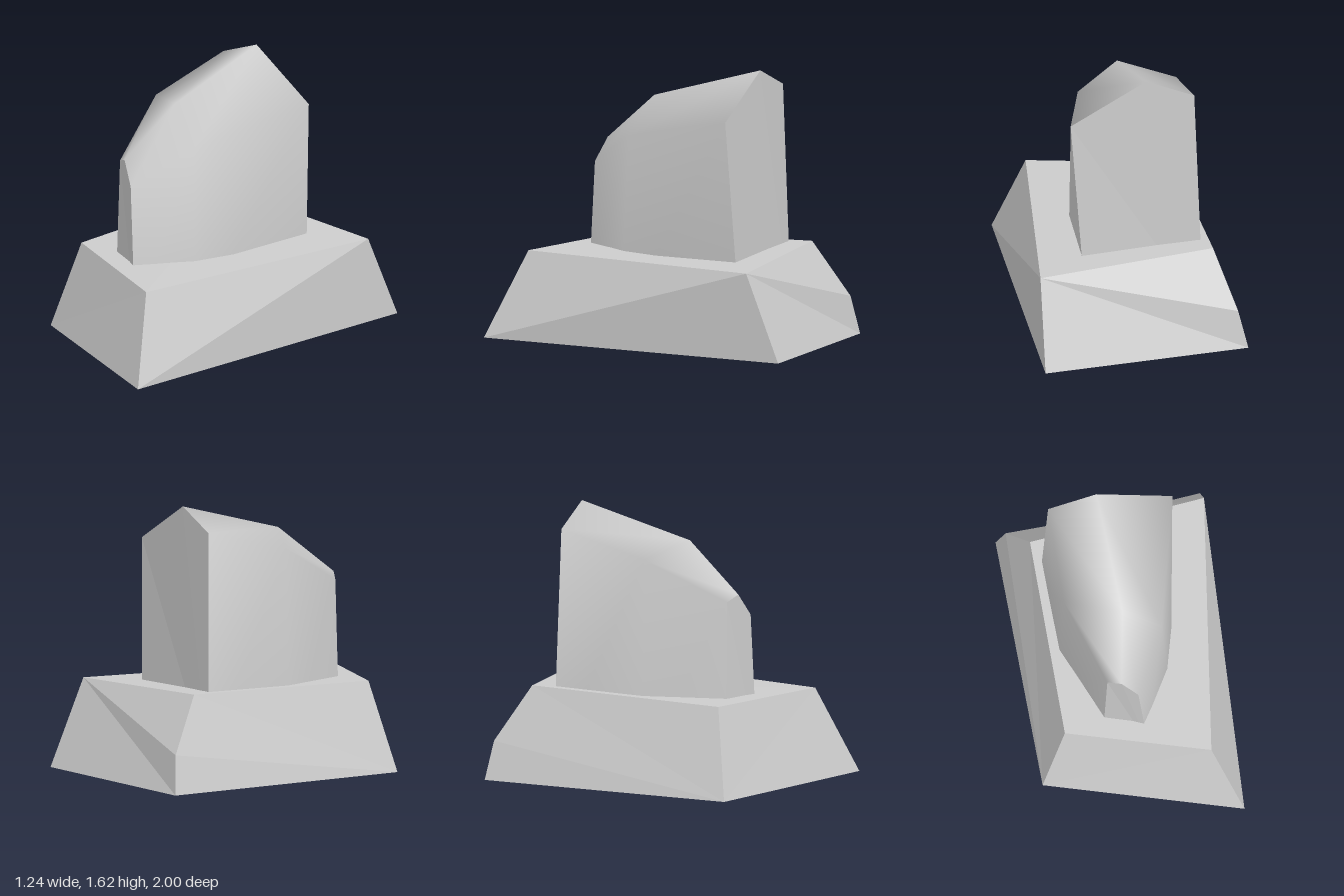
import * as THREE from 'three';

const stone = new THREE.MeshStandardMaterial({ color: 0xcccccc, side: THREE.DoubleSide });
stone.name = 'light grey';

// Flat-shaded mesh from convex polygons (corner lists, counter-clockwise from outside)
function flatMesh(name, polygons) {
  const pos = [];
  for (const p of polygons) {
    for (let i = 1; i < p.length - 1; i++) pos.push(...p[0], ...p[i], ...p[i + 1]);
  }
  const g = new THREE.BufferGeometry();
  g.setAttribute('position', new THREE.Float32BufferAttribute(pos, 3));
  g.computeVertexNormals();
  const m = new THREE.Mesh(g, stone);
  m.name = name;
  return m;
}

// Smooth mesh lofted through equal-length cross-sections
function loftMesh(name, sections) {
  const n = sections[0].length;
  const idx = [];
  for (let r = 0; r < sections.length - 1; r++) {
    for (let c = 0; c < n - 1; c++) {
      const a = r * n + c, d = a + n;
      idx.push(a, a + 1, d, a + 1, d + 1, d);
    }
  }
  const g = new THREE.BufferGeometry();
  g.setAttribute('position', new THREE.Float32BufferAttribute(sections.flat(2), 3));
  g.setIndex(idx);
  g.computeVertexNormals();
  const m = new THREE.Mesh(g, stone);
  m.name = name;
  return m;
}

export function createModel() {
  const model = new THREE.Group();
  model.name = 'standingStone';

  // Tapered plinth, open underneath, with one chipped rear corner
  const bottom = {
    bl: [-0.62, 0, -0.88], br: [0.62, 0, -1], fr: [0.575, 0, 1], fl: [-0.58, 0, 0.67],
  };
  const top = {
    bl: [-0.45, 0.56, -0.65], br: [0.61, 0.52, -0.78], fr: [0.41, 0.515, 0.79], fl: [-0.43, 0.535, 0.56],
  };
  const chip = [-0.565, 0.23, -0.845];
  model.add(flatMesh('plinth', [
    [top.bl, top.fl, top.fr, top.br],
    [bottom.fl, bottom.fr, top.fr, top.fl],
    [bottom.fr, bottom.br, top.br, top.fr],
    [top.br, bottom.br, bottom.bl, chip, top.bl],
    [bottom.fl, top.fl, top.bl, chip, bottom.bl],
  ]));

  // Upright block: cross-sections run from +x foot over the ridge to -x foot
  const back = [
    [0.29, 0.11, -0.57], [0.38, 1.37, -0.515], [-0.075, 1.62, -0.505], [-0.365, 1.5, -0.5], [-0.415, 0.1, -0.53],
  ];
  const middle = [
    [0.25, 0.1, 0.26], [0.2, 1.22, 0.23], [-0.026, 1.43, 0.18], [-0.355, 1.36, 0.04], [-0.395, 0.11, 0.04],
  ];
  const front = [
    [0.065, 0.19, 0.575], [0.01, 1.01, 0.56], [-0.085, 1.145, 0.525], [-0.165, 1.11, 0.49], [-0.195, 0.19, 0.5],
  ];
  const upright = new THREE.Group();
  upright.name = 'uprightBlock';
  upright.add(
    loftMesh('sidesAndRoof', [back, middle, front]),
    flatMesh('frontFace', [front]),
    flatMesh('backFace', [[...back].reverse()]),
  );
  model.add(upright);
  return model;
}
